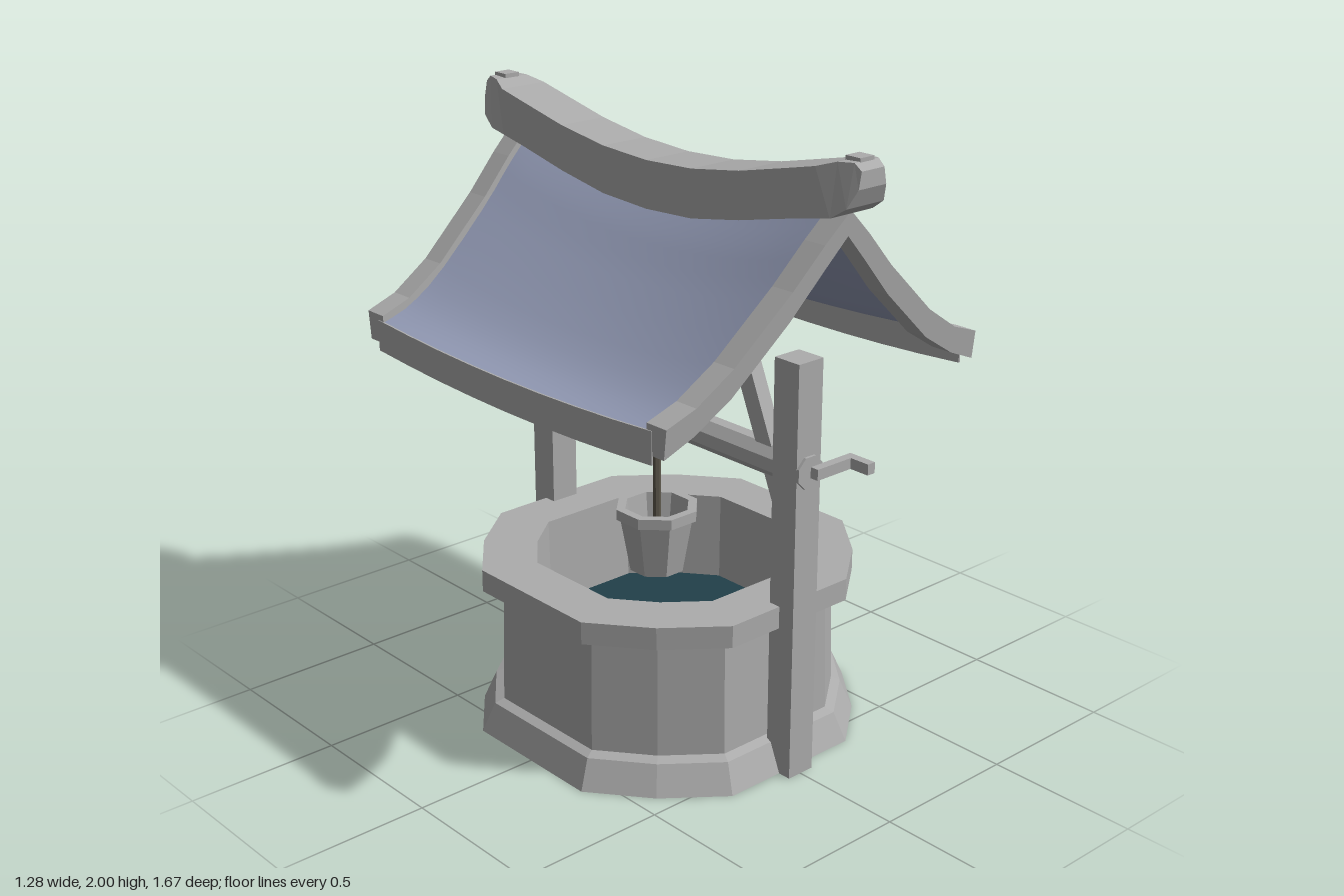
import * as THREE from 'three';

const grey = new THREE.MeshStandardMaterial({ name: 'weathered grey', color: 0xacacac, flatShading: true });
const blue = new THREE.MeshStandardMaterial({ name: 'slate blue', color: 0x959db8, side: THREE.DoubleSide });
const teal = new THREE.MeshStandardMaterial({ name: 'dark water', color: 0x22404a, side: THREE.DoubleSide });
const brown = new THREE.MeshStandardMaterial({ name: 'rope brown', color: 0x5e594d, flatShading: true });

// Skin a list of equal-sized rings, optionally capping either end.
function loft(rings, capStart = true, capEnd = true) {
  const pos = [];
  const tri = (a, b, c) => pos.push(...a, ...b, ...c);
  const n = rings[0].length;
  for (let i = 0; i < rings.length - 1; i++) {
    for (let j = 0; j < n; j++) {
      const k = (j + 1) % n;
      const [a, b, c, d] = [rings[i][j], rings[i][k], rings[i + 1][k], rings[i + 1][j]];
      tri(a, b, c);
      tri(a, c, d);
    }
  }
  const first = rings[0], last = rings[rings.length - 1];
  for (let j = 1; j < n - 1; j++) {
    if (capStart) tri(first[0], first[j + 1], first[j]);
    if (capEnd) tri(last[0], last[j], last[j + 1]);
  }
  const g = new THREE.BufferGeometry();
  g.setAttribute('position', new THREE.Float32BufferAttribute(pos, 3));
  g.computeVertexNormals();
  return g;
}

// Linear interpolation through [x, value] points.
function lerpTable(table, x) {
  let i = 1;
  while (i < table.length - 1 && x > table[i][0]) i++;
  const [x0, a] = table[i - 1], [x1, b] = table[i];
  return a + (b - a) * (x - x0) / (x1 - x0);
}

// Horizontal ring from polar corners [degrees, radius scale].
const ringAt = (corners, r, y) => corners.map(([deg, s]) => {
  const t = deg * Math.PI / 180;
  return [Math.cos(t) * r * s, y, -Math.sin(t) * r * s];
});

export function createModel() {
  const root = new THREE.Group();
  root.name = 'well';
  const add = (name, geo, mat, x = 0, y = 0, z = 0) => {
    const m = new THREE.Mesh(geo, mat);
    m.name = name;
    m.position.set(x, y, z);
    root.add(m);
    return m;
  };
  const box = (name, w, h, d, x, y, z) => add(name, new THREE.BoxGeometry(w, h, d), grey, x, y, z);

  // Well wall: twelve corners, wide faces on the axes; radii are to those faces
  const corners = [];
  for (let q = 0; q < 360; q += 90) corners.push([q + 23.4, 1.09], [q + 45, 1.06], [q + 66.6, 1.09]);
  const wall = [[0.58, 0], [0.54, 0.095], [0.512, 0.108], [0.503, 0.48], [0.565, 0.50],
    [0.565, 0.573], [0.40, 0.573], [0.39, 0], [0.58, 0]];
  add('wellWall', loft(wall.map(([r, y]) => ringAt(corners, r, y)), false, false), grey);

  // Water surface
  const waterRing = ringAt(corners, 0.391, 0).map(([x, , z]) => new THREE.Vector2(x, -z));
  add('water', new THREE.ShapeGeometry(new THREE.Shape(waterRing)), teal, 0, 0.28, 0).rotation.x = -Math.PI / 2;

  // Posts and leaning braces
  for (const s of [1, -1]) {
    box('post', 0.1, 1.365, 0.1, 0, 0.6825, s * 0.574);
    const brace = new THREE.Shape([[0.53, 0.82], [0.32, 1.31], [0.38, 1.33], [0.53, 0.98]]
      .map(([z, y]) => new THREE.Vector2(z, y)));
    const geo = new THREE.ExtrudeGeometry(brace, { depth: 0.05, bevelEnabled: false });
    geo.translate(0, 0, -0.025);
    add('brace', geo, grey).rotation.y = -s * Math.PI / 2;
  }

  // Axle and crank
  const axle = new THREE.CylinderGeometry(0.054, 0.054, 1.266, 8);
  axle.rotateY(Math.PI / 8);
  axle.rotateX(Math.PI / 2);
  add('axle', axle, grey, 0, 1.02, 0);
  box('crankArm', 0.17, 0.035, 0.03, 0.085, 1.02, 0.647);
  box('crankHandle', 0.03, 0.035, 0.09, 0.155, 1.02, 0.687);

  // Rope and open bucket
  const oct = [];
  for (let i = 0; i < 8; i++) oct.push([22.5 + i * 45, 1.082]);
  const bucket = [[0.085, 0.48], [0.116, 0.665], [0.128, 0.665], [0.128, 0.70],
    [0.10, 0.70], [0.075, 0.51]];
  add('bucket', loft(bucket.map(([r, y]) => ringAt(oct, r, y))), grey, 0, 0, -0.05);
  add('rope', new THREE.CylinderGeometry(0.013, 0.013, 0.5, 6), brown, 0, 0.76, -0.05);

  // Gable rafters: curved boards that lean outward towards the apex
  const top = [[0, 1.84], [0.09, 1.755], [0.2, 1.64], [0.4, 1.46], [0.53, 1.375], [0.635, 1.338]];
  const under = [[0, 1.765], [0.09, 1.67], [0.2, 1.55], [0.4, 1.37], [0.53, 1.29], [0.635, 1.247]];
  const xs = [-0.635, -0.53, -0.4, -0.2, -0.09, 0, 0.09, 0.2, 0.4, 0.53, 0.635];
  const lean = (y) => 0.06 * (y - 1.29) / 0.55;
  const rafter = loft(xs.map((x) => {
    const t = lerpTable(top, Math.abs(x)), b = lerpTable(under, Math.abs(x));
    return [[x, b, 0.625 + lean(b)], [x, t, 0.62 + lean(t)], [x, t, 0.70 + lean(t)], [x, b, 0.70 + lean(b)]];
  }));
  add('frontRafters', rafter, grey);
  add('backRafters', rafter, grey).rotation.y = Math.PI;

  // Sagging roof sheets with a thin board below each eave
  const curve = new THREE.SplineCurve(top.map(([x, y]) => new THREE.Vector2(x, y)));
  for (const s of [1, -1]) {
    const sheet = new THREE.PlaneGeometry(1, 1, 12, 12);
    const p = sheet.attributes.position;
    for (let i = 0; i < p.count; i++) {
      const c = curve.getPoint(p.getX(i) + 0.5), w = p.getY(i) * 2;
      const sag = 0.11 - 0.085 * c.x / 0.635;
      p.setXYZ(i, s * c.x, c.y - 0.02 - sag * (1 - w * w), -s * w * (0.65 + lean(c.y)));
    }
    sheet.computeVertexNormals();
    add('roofSheet', sheet, blue);

    const rings = [];
    for (let i = 0; i <= 8; i++) {
      const w = i / 4 - 1, y = 1.294 + 0.026 * w * w, z = w * 0.648;
      rings.push([[-0.003, y - 0.1, z], [0.003, y - 0.1, z], [0.003, y, z], [-0.003, y, z]]);
    }
    add('eaveBoard', loft(rings), grey, s * 0.635);
  }

  // Ridge beam: [z, bottom, top, bottom half width, top half width], mirrored along z
  const half = [[0.2, 1.72, 1.87, 0.086, 0.086], [0.4, 1.755, 1.9, 0.086, 0.086],
    [0.6, 1.8, 1.945, 0.086, 0.086], [0.70, 1.82, 1.968, 0.086, 0.086],
    [0.76, 1.832, 1.987, 0.086, 0.062], [0.81, 1.865, 1.99, 0.075, 0.048], [0.835, 1.92, 1.97, 0.055, 0.045]];
  const beam = [...half.map(([z, ...r]) => [-z, ...r]).reverse(), [0, 1.71, 1.86, 0.086, 0.086], ...half];
  add('ridgeBeam', loft(beam.map(([z, b, t, hb, ht]) => [[-hb, b, z], [hb, b, z], [ht, t, z], [-ht, t, z]])), grey);
  for (const s of [1, -1]) box('ridgeKnob', 0.055, 0.04, 0.055, 0, 1.98, s * 0.785);

  return root;
}
